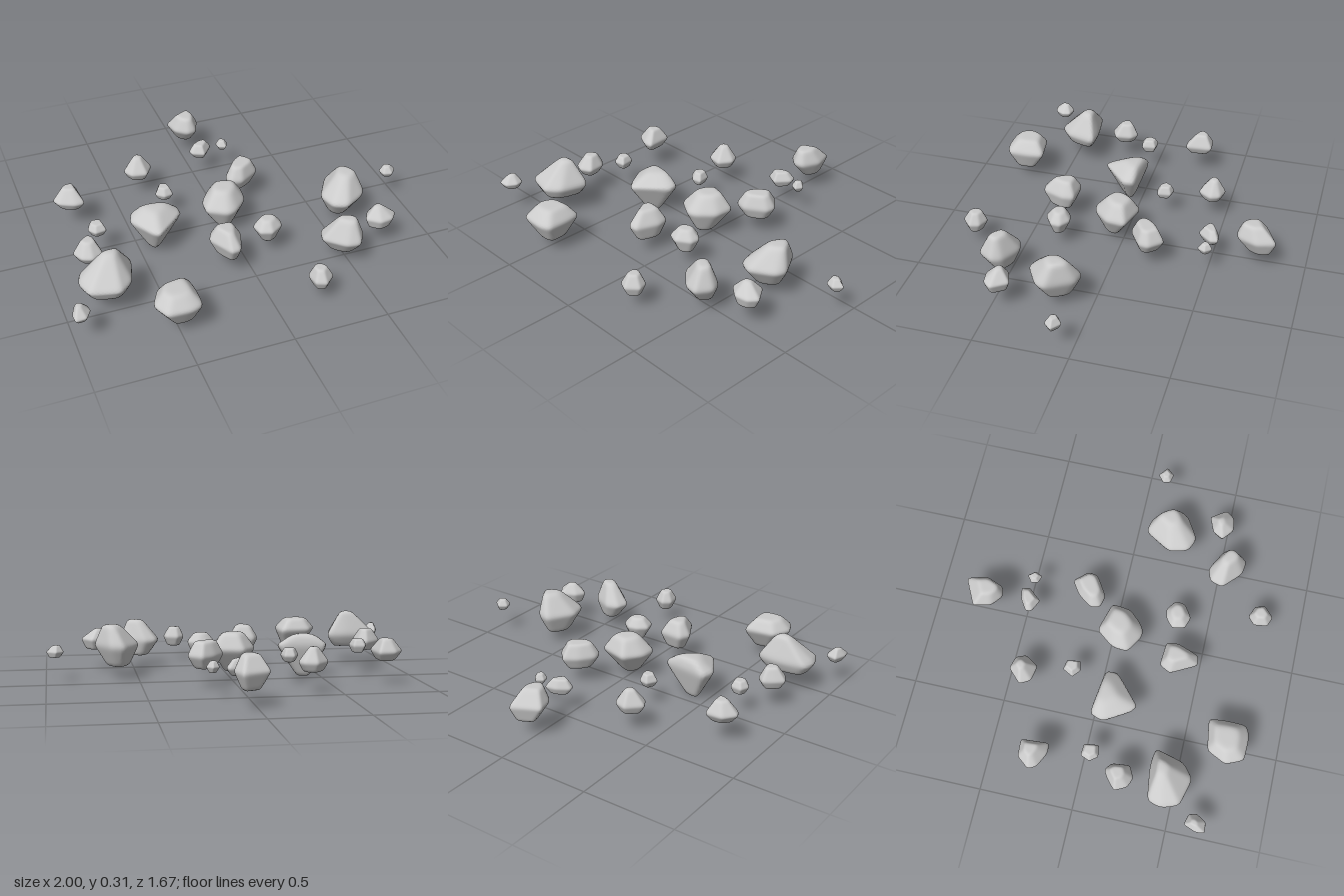
import * as THREE from 'three';
import { ConvexGeometry } from 'three/addons/geometries/ConvexGeometry.js';
import { mergeVertices } from 'three/addons/utils/BufferGeometryUtils.js';

const material = new THREE.MeshStandardMaterial({ color: 0xcccccc });

// Distinct face planes of the convex hull, measured from its centre
function hullPlanes(points) {
  const p = new ConvexGeometry(points).getAttribute('position');
  const planes = [];
  const tri = new THREE.Triangle();
  for (let i = 0; i < p.count; i += 3) {
    tri.a.fromBufferAttribute(p, i);
    tri.b.fromBufferAttribute(p, i + 1);
    tri.c.fromBufferAttribute(p, i + 2);
    if (tri.getArea() < 1e-7) continue;
    const n = tri.getNormal(new THREE.Vector3());
    const h = n.dot(tri.a);
    if (h > 1e-4 && !planes.some((q) => q.n.dot(n) > 0.985)) planes.push({ n, h });
  }
  return planes;
}

// A stone: plan outline of [x, z], heights [low, widest, high],
// and flat facets on top and below as [x, z, share of the outline]
function rock(name, outline, [low, mid, high], top, bottom) {
  const points = outline.map(([x, z]) => new THREE.Vector3(x, mid, z));
  for (const [[cx, cz, s], y] of [[top, high], [bottom, low]]) {
    for (const [x, z] of outline) {
      points.push(new THREE.Vector3(cx + (x - cx) * s, y, cz + (z - cz) * s));
    }
  }
  const box = new THREE.Box3().setFromPoints(points);
  const centre = box.getCenter(new THREE.Vector3());
  const size = box.getSize(new THREE.Vector3());
  const planes = hullPlanes(points.map((p) => p.clone().sub(centre)));

  // Push a fine sphere onto the planes, with softened edges
  let geometry = new THREE.IcosahedronGeometry(1, 10);
  geometry.deleteAttribute('uv');
  geometry.deleteAttribute('normal');
  geometry = mergeVertices(geometry, 1e-4);
  const pos = geometry.getAttribute('position');
  const d = new THREE.Vector3();
  for (let i = 0; i < pos.count; i++) {
    d.fromBufferAttribute(pos, i).normalize();
    let sum = 0;
    for (const { n, h } of planes) sum += Math.max(0, n.dot(d) / h * 0.1) ** 16;
    d.multiplyScalar(0.1 * sum ** (-1 / 16));
    pos.setXYZ(i, d.x, d.y, d.z);
  }

  // Fit the softened stone back to its full size
  geometry.computeBoundingBox();
  const now = geometry.boundingBox.getSize(new THREE.Vector3());
  const mean = geometry.boundingBox.getCenter(new THREE.Vector3());
  geometry.translate(-mean.x, -mean.y, -mean.z);
  geometry.scale(size.x / now.x, size.y / now.y, size.z / now.z);
  geometry.computeVertexNormals();

  const mesh = new THREE.Mesh(geometry, material);
  mesh.name = name;
  mesh.position.copy(centre);
  return mesh;
}

export function createModel() {
  const group = new THREE.Group();
  group.name = 'scatteredRocks';
  const add = (...args) => group.add(rock(...args));

  // Large rocks
  add('centreRock',
    [[-.05, -.075], [.11, -.03], [.1, .07], [.02, .15], [-.03, .16], [-.13, .1], [-.125, .02]],
    [.04, .17, .26], [0, .02, .5], [-.01, .07, .35]);
  add('deepRock',
    [[-.51, -.01], [-.27, .02], [-.265, .08], [-.42, .215], [-.45, .2], [-.535, .06]],
    [0, .18, .24], [-.4, .03, .45], [-.41, .07, .25]);
  add('leftRock',
    [[.58, .06], [.65, .075], [.73, .21], [.71, .26], [.59, .33], [.52, .3], [.495, .2]],
    [.065, .18, .295], [.66, .16, .4], [.6, .17, .5]);
  add('peakedRock',
    [[-.89, .38], [-.71, .355], [-.63, .37], [-.67, .52], [-.74, .575], [-.88, .54], [-.915, .45]],
    [.11, .18, .315], [-.735, .41, .25], [-.77, .46, .7]);
  add('frontLeftRock',
    [[.375, .46], [.44, .44], [.55, .5], [.57, .55], [.52, .63], [.45, .62], [.355, .53]],
    [.07, .16, .275], [.5, .54, .4], [.48, .51, .5]);
  add('frontRightRock',
    [[-.57, .63], [-.41, .605], [-.395, .67], [-.4, .8], [-.45, .825], [-.58, .82], [-.62, .73]],
    [.065, .18, .245], [-.5, .7, .55], [-.47, .73, .45]);
  add('backRock',
    [[.08, -.84], [.11, -.74], [.07, -.64], [.02, -.63], [-.04, -.68], [-.06, -.77]],
    [.09, .18, .26], [.03, -.69, .5], [.04, -.77, .5]);

  // Medium rocks
  add('wedgeRock',
    [[-.17, .29], [-.045, .3], [-.035, .36], [-.08, .48], [-.13, .485], [-.2, .35]],
    [.09, .18, .255], [-.12, .36, .5], [-.1, .38, .6]);
  add('ridgeRock',
    [[.2, -.27], [.265, -.2], [.255, -.15], [.15, -.085], [.085, -.1], [.075, -.15], [.13, -.225]],
    [.1, .17, .245], [.17, -.17, .6], [.17, -.17, .6]);
  add('smallCentreRock',
    [[.1, .27], [.15, .26], [.205, .3], [.2, .35], [.13, .395], [.07, .375], [.055, .31]],
    [.09, .17, .22], [.13, .32, .5], [.14, .33, .5]);
  add('backRightRock',
    [[-.36, -.49], [-.295, -.47], [-.275, -.42], [-.32, -.35], [-.4, -.365], [-.43, -.42]],
    [.11, .16, .24], [-.35, -.43, .3], [-.35, -.42, .65]);
  add('farRightRock',
    [[-.82, -.325], [-.73, -.33], [-.72, -.185], [-.77, -.18], [-.85, -.22], [-.87, -.26]],
    [.13, .18, .25], [-.78, -.27, .4], [-.78, -.25, .6]);
  add('rightRock',
    [[-.79, .13], [-.75, .16], [-.74, .25], [-.8, .28], [-.85, .26], [-.88, .2], [-.84, .16]],
    [.12, .17, .24], [-.8, .19, .45], [-.81, .2, .6]);
  add('outerLeftRock',
    [[.66, .42], [.74, .39], [.795, .47], [.76, .515], [.69, .525], [.63, .475]],
    [.12, .18, .24], [.7, .45, .25], [.71, .47, .7]);

  // Pebbles
  add('frontPebble',
    [[.22, .705], [.28, .73], [.295, .78], [.24, .83], [.19, .81], [.18, .74]],
    [.085, .14, .2], [.23, .76, .5], [.24, .77, .6]);
  add('backPebble',
    [[.04, -.53], [.1, -.54], [.11, -.5], [.05, -.43], [-.015, -.46], [-.02, -.49]],
    [.115, .155, .2], [.04, -.49, .55], [.05, -.49, .6]);
  add('tinyBackPebble',
    [[.18, -.525], [.21, -.49], [.19, -.45], [.15, -.465], [.145, -.5]],
    [.13, .16, .19], [.175, -.49, .5], [.18, -.49, .5]);
  add('innerPebble',
    [[-.3, -.21], [-.25, -.2], [-.24, -.13], [-.29, -.12], [-.33, -.155]],
    [.12, .155, .195], [-.28, -.17, .6], [-.28, -.16, .6]);
  add('rightPebble',
    [[-.74, -.01], [-.68, -.005], [-.67, .07], [-.73, .08], [-.76, .04]],
    [.13, .17, .205], [-.71, .03, .6], [-.71, .03, .6]);
  add('farLeftPebble',
    [[.945, .05], [.995, .09], [.96, .13], [.915, .12], [.905, .08]],
    [.135, .165, .2], [.94, .09, .45], [.955, .09, .6]);
  add('farRightPebble',
    [[-.975, .585], [-.92, .6], [-.91, .64], [-.94, .69], [-.995, .695], [-1, .65]],
    [.135, .17, .215], [-.965, .63, .3], [-.955, .64, .6]);

  return group;
}
